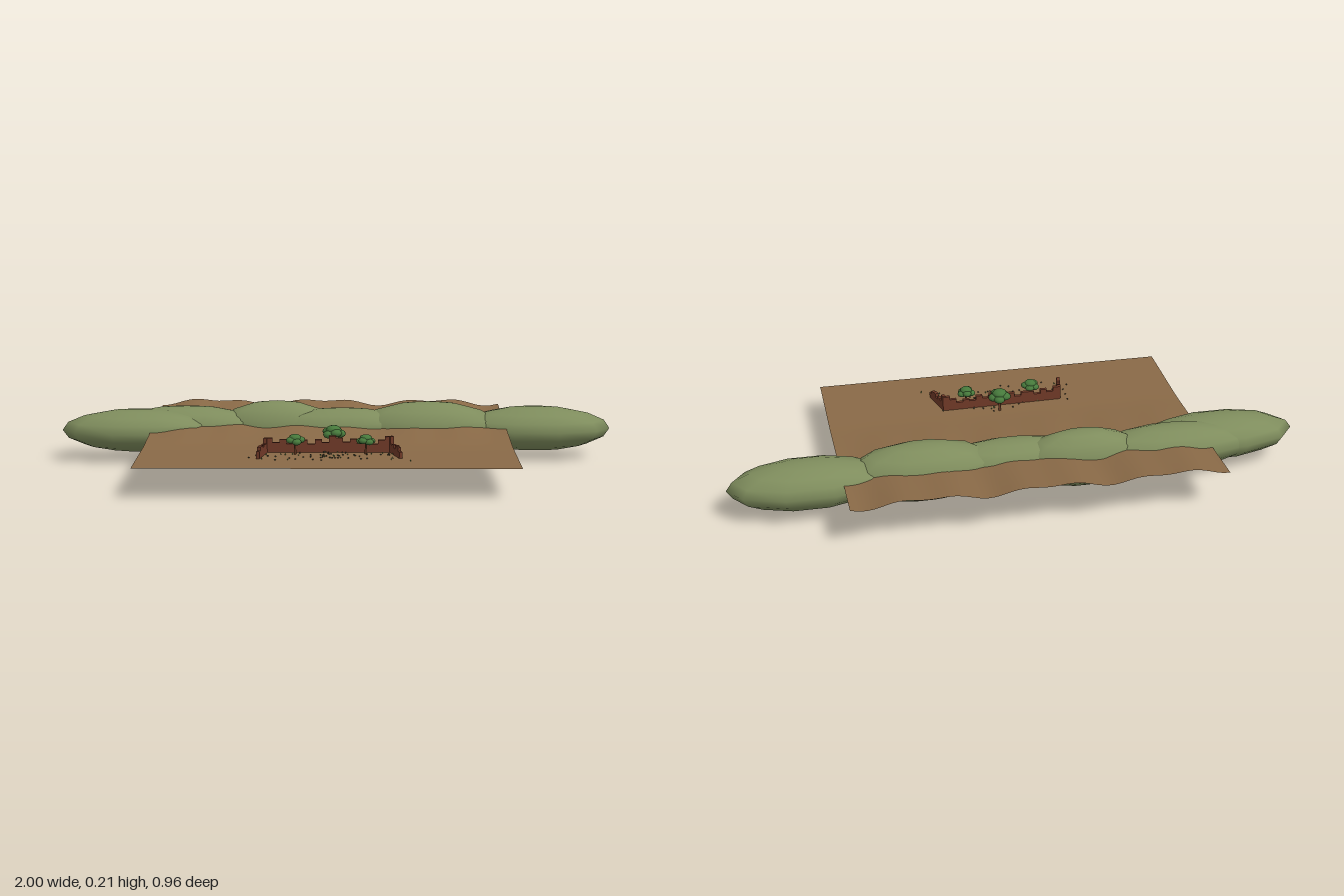
import * as THREE from 'three';

const mat = (name, color, side = THREE.FrontSide) => {
  const m = new THREE.MeshStandardMaterial({ color, side });
  m.name = name;
  return m;
};

export function createModel() {
  const model = new THREE.Group();
  model.name = 'ruinedFortLandscape';
  const earth = mat('brown earth', 0x8a6a47, THREE.DoubleSide);
  const hillGreen = mat('hill green', 0x7f8d5d);
  const brick = mat('red brick', 0x713a28);
  const bark = mat('bark', 0x6f4027);
  const leaf = mat('leaf green', 0x477a3c);
  const stone = mat('dark rubble', 0x4f4a38);
  const base = 0.108;

  const add = (parent, name, geo, material, x = 0, y = 0, z = 0) => {
    const mesh = new THREE.Mesh(geo, material);
    mesh.name = name;
    mesh.position.set(x, y, z);
    parent.add(mesh);
    return mesh;
  };

  let seed = 17;
  const rand = () => {
    seed = (seed * 16807) % 2147483647;
    return seed / 2147483647;
  };

  // Ground sheet, flat at the front and rising in ripples to the back
  const groundGeo = new THREE.PlaneGeometry(1.28, 0.96, 48, 24);
  groundGeo.rotateX(-Math.PI / 2).translate(-0.03, 0, 0);
  const p = groundGeo.attributes.position;
  for (let i = 0; i < p.count; i++) {
    const x = p.getX(i);
    const t = Math.max(0, (0.14 - p.getZ(i)) / 0.62);
    const wave = 0.009 * Math.sin(x * 15 + 2.4) + 0.006 * Math.sin(x * 31);
    p.setY(i, base + t * (0.05 + wave));
  }
  groundGeo.computeVertexNormals();
  add(model, 'ground', groundGeo, earth);

  // Ridge of long overlapping hills: x, z, half length, half height, half depth
  const hills = new THREE.Group();
  hills.name = 'hills';
  model.add(hills);
  const sphere = new THREE.SphereGeometry(1, 10, 8);
  [
    [-0.72, -0.16, 0.28, 0.077, 0.112],
    [-0.55, -0.207, 0.29, 0.081, 0.097],
    [-0.22, -0.212, 0.22, 0.105, 0.087],
    [0.02, -0.19, 0.27, 0.078, 0.088],
    [0.33, -0.197, 0.27, 0.105, 0.108],
    [0.72, -0.21, 0.275, 0.081, 0.115],
  ].forEach(([x, z, rx, ry, rz]) =>
    add(hills, 'hill', sphere, hillGreen, x, ry > 0.1 ? 0.106 : 0.11, z).scale.set(rx, ry, rz));

  // Broken walls, each a row of blocks with uneven tops
  const walls = new THREE.Group();
  walls.name = 'ruinedWalls';
  model.add(walls);
  const buildWall = (name, [x0, z0], [x1, z1], heights) => {
    const wall = new THREE.Group();
    wall.name = name;
    const step = Math.hypot(x1 - x0, z1 - z0) / heights.length;
    heights.forEach((h, i) =>
      add(wall, 'wallBlock', new THREE.BoxGeometry(step, h, 0.012), brick, (i + 0.5) * step, h / 2, 0));
    wall.position.set(x0, base, z0);
    wall.rotation.y = -Math.atan2(z1 - z0, x1 - x0);
    walls.add(wall);
  };
  buildWall('backWall', [-0.242, 0.219], [0.19, 0.211],
    [0.05, 0.034, 0.045, 0.03, 0.042, 0.042, 0.029, 0.044, 0.034, 0.056, 0.05, 0.035, 0.046, 0.03, 0.036, 0.028, 0.042, 0.054]);
  buildWall('rightWall', [-0.24, 0.215], [-0.263, 0.33], [0.05, 0.033, 0.034, 0.029, 0.037, 0.037, 0.025]);
  buildWall('leftWall', [0.185, 0.21], [0.217, 0.32], [0.056, 0.03, 0.034, 0.024, 0.037, 0.034, 0.022]);

  // Trees with a trunk and a crown of flattened leaf clumps
  const clump = new THREE.IcosahedronGeometry(1, 1);
  const buildTree = (x, z, s) => {
    const tree = new THREE.Group();
    tree.name = 'tree';
    add(tree, 'trunk', new THREE.CylinderGeometry(0.0035, 0.0055, 0.05, 7), bark, 0, 0.025, 0);
    add(tree, 'crownTop', clump, leaf, 0, 0.069, 0).scale.set(0.027, 0.016, 0.027);
    for (let i = 0; i < 5; i++) {
      const a = i * Math.PI * 0.4 + x * 9;
      add(tree, 'crownClump', clump, leaf, Math.cos(a) * 0.022, 0.055 + (i % 2) * 0.006, Math.sin(a) * 0.022)
        .scale.set(0.02, 0.014, 0.02);
    }
    tree.position.set(x, base, z);
    tree.scale.setScalar(s);
    model.add(tree);
  };
  buildTree(-0.01, 0.17, 1);
  buildTree(-0.14, 0.25, 0.82);
  buildTree(0.1, 0.245, 0.8);

  // Small rubble and grass tufts around the walls
  const litter = new THREE.Group();
  litter.name = 'rubbleAndGrass';
  model.add(litter);
  const pebble = new THREE.IcosahedronGeometry(0.003, 0);
  const tuft = new THREE.ConeGeometry(0.002, 0.007, 4);
  for (let i = 0; i < 90; i++) {
    const x = -0.02 + (rand() + rand() - 1) * 0.3;
    const z = 0.265 + (rand() + rand() - 1) * 0.105;
    if (i % 3) add(litter, 'rubble', pebble, stone, x, base + 0.002, z).rotation.y = rand() * 6;
    else add(litter, 'grassTuft', tuft, leaf, x, base + 0.0035, z);
  }
  return model;
}
